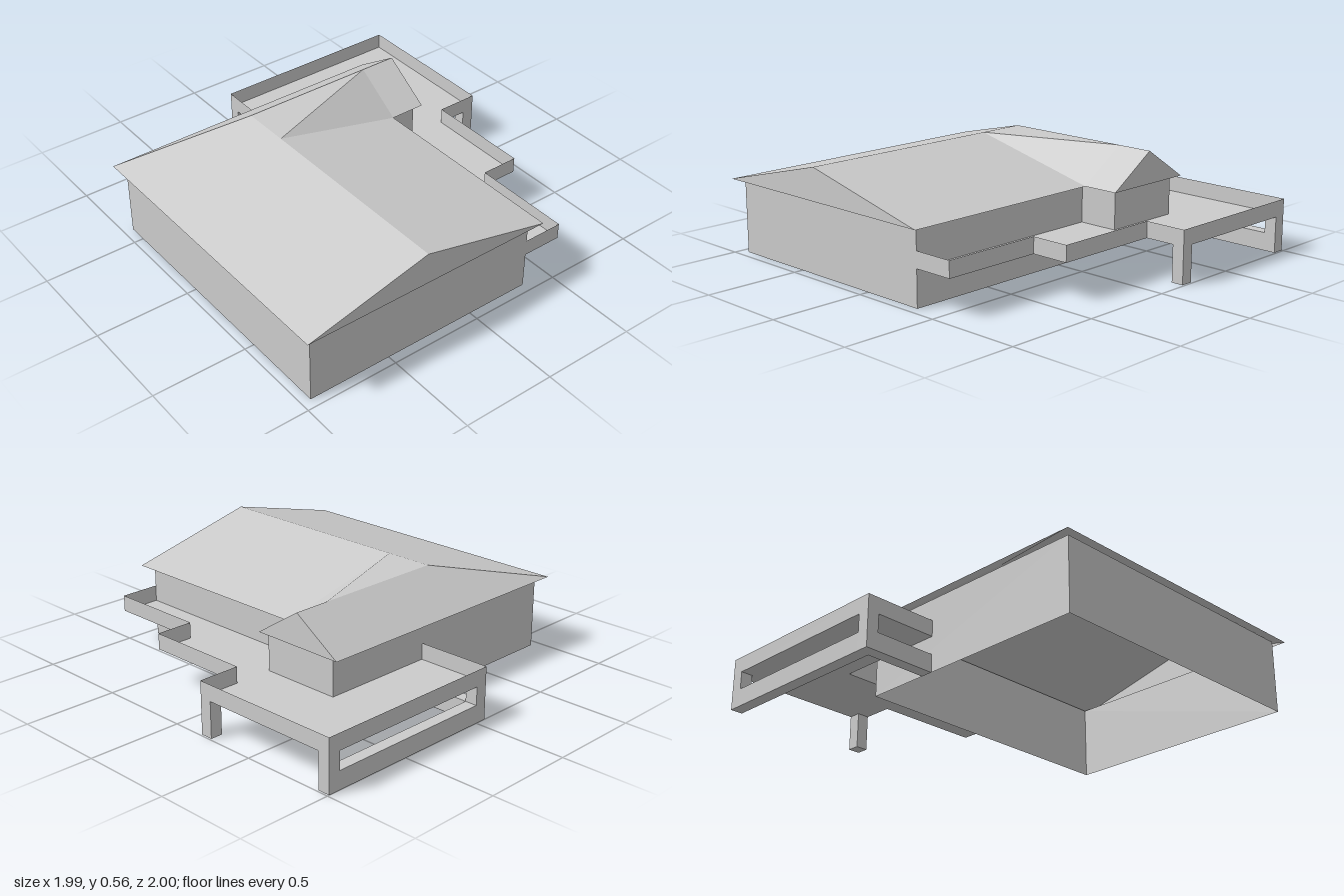
import * as THREE from 'three';

const material = new THREE.MeshStandardMaterial({
  color: 0xcccccc, flatShading: true, side: THREE.DoubleSide,
});

// Mesh from flat polygons, each a loop of [x, y, z] corners fanned from its first corner
function panels(name, polygons) {
  const pos = [];
  for (const p of polygons)
    for (let i = 1; i < p.length - 1; i++) pos.push(...p[0], ...p[i], ...p[i + 1]);
  const geo = new THREE.BufferGeometry();
  geo.setAttribute('position', new THREE.Float32BufferAttribute(pos, 3));
  geo.computeVertexNormals();
  const mesh = new THREE.Mesh(geo, material);
  mesh.name = name;
  return mesh;
}

// Thin vertical walls along a path of [x, z] points, outside on the right of travel
function walls(name, path, y0, y1) {
  const quads = [];
  for (let i = 0; i < path.length - 1; i++) {
    const [ax, az] = path[i], [bx, bz] = path[i + 1];
    quads.push([[ax, y0, az], [bx, y0, bz], [bx, y1, bz], [ax, y1, az]]);
  }
  return panels(name, quads);
}

// Box from its lower and upper corners
function block(name, [x0, y0, z0], [x1, y1, z1]) {
  const mesh = new THREE.Mesh(new THREE.BoxGeometry(x1 - x0, y1 - y0, z1 - z0), material);
  mesh.position.set((x0 + x1) / 2, (y0 + y1) / 2, (z0 + z1) / 2);
  mesh.name = name;
  return mesh;
}

export function createModel() {
  const model = new THREE.Group();
  model.name = 'house';

  const eave = 0.39, ridge = 0.56;
  const deckLow = 0.19, deckTop = 0.275, rail = 0.095, t = 0.065;

  // House walls, open below
  model.add(walls('houseWalls',
    [[-0.95, 0.95], [0.345, 0.95], [0.345, -0.6], [-0.95, -0.6], [-0.95, 0.95]], 0, eave));

  // Raised side room above the deck
  model.add(walls('sideRoomWalls',
    [[0.345, -0.17], [0.56, -0.17], [0.56, -0.6], [0.345, -0.6]], deckLow, eave));

  // Roof: main ridge runs along z, side wing ridge along x
  const xL = -0.995, xM = -0.325, xR = 0.395, xW = 0.59;
  const zF = 1, zV = -0.135, zR = -0.395, zB = -0.652;
  const roof = new THREE.Group();
  roof.name = 'roof';
  roof.add(
    panels('mainRoof', [
      [[xL, eave, zB], [xL, eave, zF], [xM, ridge, zF], [xM, ridge, zR]],
      [[xR, eave, zF], [xR, eave, zV], [xM, ridge, zV], [xM, ridge, zF]],
    ]),
    panels('wingRoof', [
      [[xW, eave, zB], [xL, eave, zB], [xM, ridge, zR], [xW, ridge, zR]],
      [[xR, eave, zV], [xW, eave, zV], [xW, ridge, zR], [xR, ridge, zR]],
    ]),
    // Fill between the main slope and the wing ridge
    panels('roofValley', [
      [[xM, ridge, zV], [xR, eave, zV], [xR, ridge, zR]],
      [[xM, ridge, zV], [xR, ridge, zR], [xM, ridge, zR]],
    ]),
    panels('gableEnds', [
      [[xL, eave, zF], [xR, eave, zF], [xM, ridge, zF]],
      [[xW, eave, zV], [xW, eave, zB], [xW, ridge, zR]],
    ]),
  );
  model.add(roof);

  // Stepped deck floor with a thin parapet on its outer edge
  const deckEdge = [[0.345, 0.95], [0.56, 0.95], [0.56, 0.41], [0.765, 0.41], [0.765, -0.17],
    [0.99, -0.17], [0.99, -1], [-0.06, -1], [-0.06, -0.6]];
  const inner = [[0.56, -0.6], [0.56, -0.17], [0.345, -0.17]];
  const shape = new THREE.Shape([...deckEdge, ...inner].map(([x, z]) => new THREE.Vector2(x, -z)));
  const floor = new THREE.Mesh(new THREE.ShapeGeometry(shape).rotateX(-Math.PI / 2), material);
  floor.position.y = deckLow;
  floor.name = 'deckFloor';
  model.add(floor, walls('deckParapet', deckEdge, deckLow, deckTop));

  // Posts and low walls below the deck
  for (const [name, x, z] of [['frontPost', 0.99 - t, -0.17 - t],
    ['backLeftPost', 0.99 - t, -1], ['backRightPost', -0.06, -1]])
    model.add(block(name, [x, 0, z], [x + t, deckLow, z + t]));
  model.add(
    block('backLowWall', [-0.06 + t, 0, -1], [0.99 - t, rail, -1 + t]),
    block('sideLowWall', [-0.06, 0, -1 + t], [-0.06 + t, rail, -0.6]),
  );

  return model;
}
